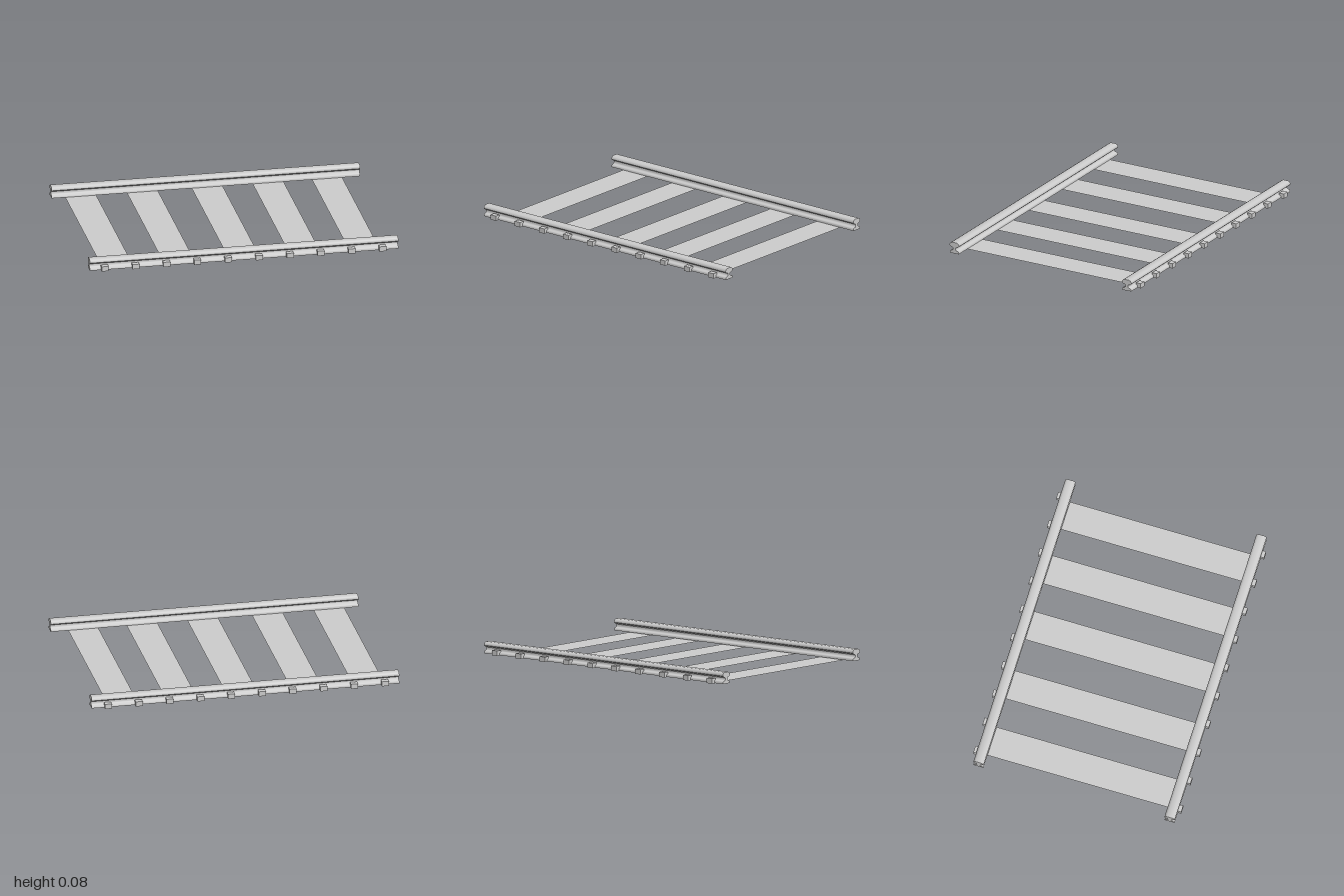
import * as THREE from 'three';
import { toCreasedNormals } from 'three/addons/utils/BufferGeometryUtils.js';

const LENGTH = 2;
const RAIL_Z = 0.636;

// Half of the rail cross-section: [half width, height], from foot to head
const HALF_PROFILE = [
  [0.033, 0.003], [0.033, 0.014], [0.029, 0.019], [0.014, 0.023], [0.01, 0.028],
  [0.01, 0.04], [0.014, 0.044], [0.028, 0.048], [0.034, 0.055], [0.034, 0.062],
  [0.029, 0.071], [0.018, 0.077],
];

function railGeometry() {
  const right = HALF_PROFILE.map(([w, y]) => new THREE.Vector2(w, y));
  const left = HALF_PROFILE.map(([w, y]) => new THREE.Vector2(-w, y)).reverse();
  const geometry = new THREE.ExtrudeGeometry(new THREE.Shape([...right, ...left]), {
    depth: LENGTH, bevelEnabled: false,
  });
  geometry.translate(0, 0, -LENGTH / 2);
  geometry.rotateY(Math.PI / 2);
  return toCreasedNormals(geometry, 0.7);
}

export function createModel() {
  const group = new THREE.Group();
  group.name = 'railTrack';
  const material = new THREE.MeshStandardMaterial({ color: 0xcccccc });
  const thin = new THREE.MeshStandardMaterial({ color: 0xcccccc, side: THREE.DoubleSide });

  const add = (name, geometry, mat, x, y, z) => {
    const mesh = new THREE.Mesh(geometry, mat);
    mesh.name = name;
    mesh.position.set(x, y, z);
    group.add(mesh);
  };

  // Rails with a row of fastening blocks along the outer foot
  const rail = railGeometry();
  const block = new THREE.BoxGeometry(0.045, 0.032, 0.035);
  for (const side of [1, -1]) {
    add(side > 0 ? 'frontRail' : 'backRail', rail, material, 0, 0, side * RAIL_Z);
    for (let i = 0; i < 10; i++) {
      add('fasteningBlock', block, material, -0.905 + i * 0.2, 0.017, side * 0.674);
    }
  }

  // Flat sleepers lying under the rails: [left edge, right edge]
  const sleepers = [[-0.91, -0.71], [-0.51, -0.31], [-0.09, 0.11], [0.305, 0.505], [0.69, 0.885]];
  for (const [x0, x1] of sleepers) {
    const plane = new THREE.PlaneGeometry(x1 - x0, 1.3).rotateX(-Math.PI / 2);
    add('sleeper', plane, thin, (x0 + x1) / 2, 0, 0);
  }
  return group;
}
